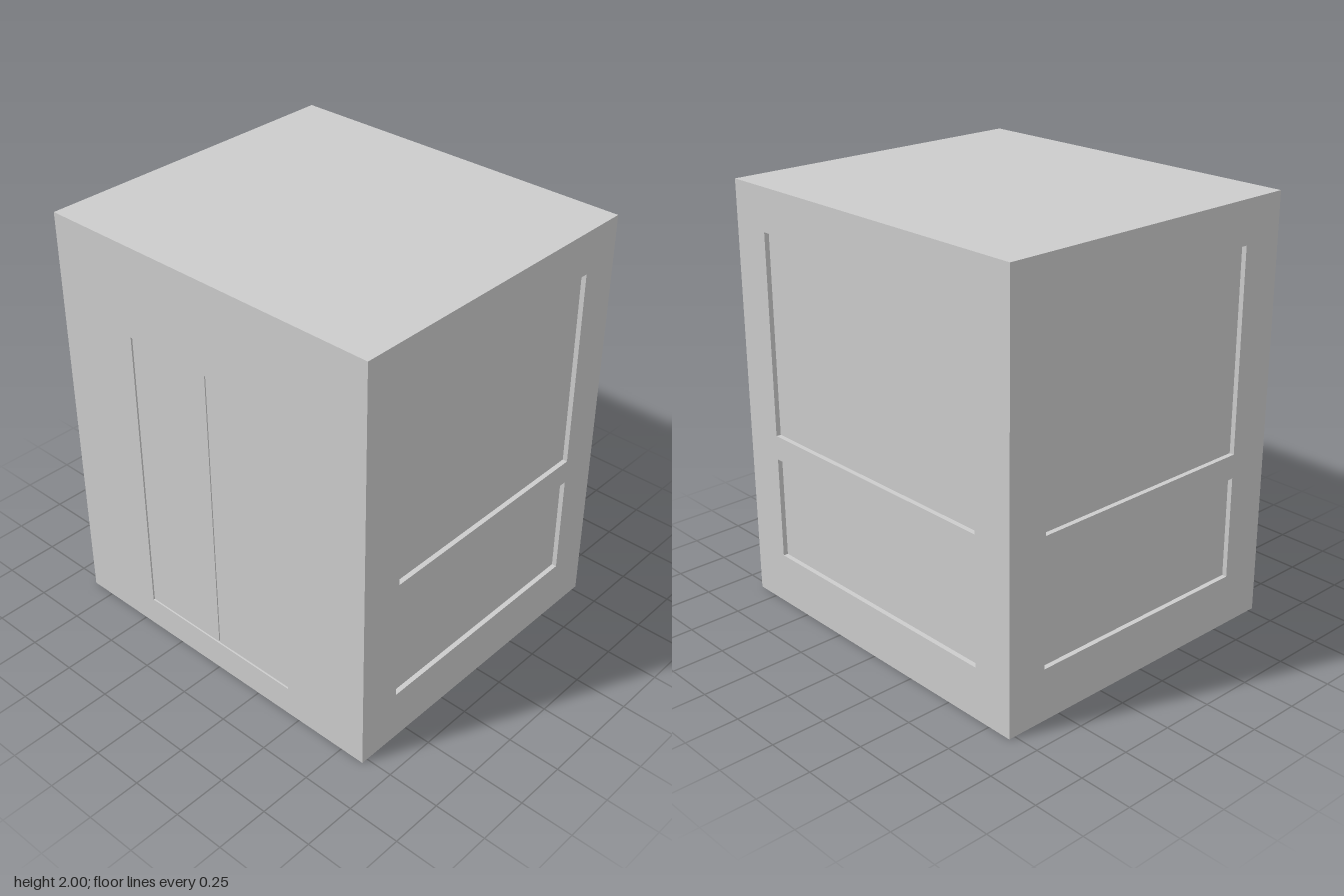
import * as THREE from 'three';

const W = 1.74, H = 2, D = 1.56; // cabin size
const T = 0.05;                  // wall thickness

const material = new THREE.MeshStandardMaterial({ color: 0xcccccc, flatShading: true });

// Outer face lies at z = 0; the inner rim is drawn in so that walls meet in mitres.
function wallGeometry(w, h, openings) {
  const shape = new THREE.Shape([[-1, -1], [1, -1], [1, 1], [-1, 1]]
    .map(([x, y]) => new THREE.Vector2(x * w / 2, y * h / 2)));
  for (const [x0, x1, y0, y1] of openings) {
    shape.holes.push(new THREE.Path([
      new THREE.Vector2(x0, y0), new THREE.Vector2(x0, y1),
      new THREE.Vector2(x1, y1), new THREE.Vector2(x1, y0)]));
  }
  const geo = new THREE.ExtrudeGeometry(shape, { depth: T, bevelEnabled: false });
  geo.translate(0, 0, -T);
  const p = geo.attributes.position;
  for (let i = 0; i < p.count; i++) {
    if (p.getZ(i) > -T / 2) continue;
    const x = p.getX(i), y = p.getY(i);
    if (Math.abs(x) > w / 2 - 1e-4) p.setX(i, x - Math.sign(x) * T);
    if (Math.abs(y) > h / 2 - 1e-4) p.setY(i, y - Math.sign(y) * T);
  }
  geo.computeVertexNormals();
  return geo;
}

function addMesh(parent, name, geometry) {
  const mesh = new THREE.Mesh(geometry, material);
  mesh.name = name;
  parent.add(mesh);
  return mesh;
}

// Slab filling an opening, its face set back by the given depth
function addInset(parent, name, [x0, x1, y0, y1], depth) {
  const mesh = addMesh(parent, name, new THREE.BoxGeometry(x1 - x0, y1 - y0, T - depth));
  mesh.position.set((x0 + x1) / 2, (y0 + y1) / 2, -(T + depth) / 2);
}

function addWall(parent, name, w, h, openings) {
  const wall = new THREE.Group();
  wall.name = name;
  addMesh(wall, name + 'Frame', wallGeometry(w, h, openings));
  parent.add(wall);
  return wall;
}

export function createModel() {
  const cabin = new THREE.Group();
  cabin.name = 'elevatorCabin';

  // Front wall with two sliding doors and a fine gap between them
  const y0 = 0.145 - H / 2, y1 = 1.57 - H / 2;
  const front = addWall(cabin, 'frontWall', W, H, [[-0.437, 0.437, y0, y1]]);
  front.position.set(0, H / 2, D / 2);
  addInset(front, 'rightDoor', [-0.437, -0.003, y0, y1], 0.008);
  addInset(front, 'leftDoor', [0.003, 0.437, y0, y1], 0.008);

  // Back and side walls, each with a tall upper and a low lower recessed panel
  const panelled = [
    ['backWall', W, -0.67, 0.67, Math.PI, 0, -D / 2],
    ['leftWall', D, -0.57, 0.585, Math.PI / 2, W / 2, 0],
    ['rightWall', D, -0.585, 0.57, -Math.PI / 2, -W / 2, 0],
  ];
  for (const [name, w, x0, x1, turn, px, pz] of panelled) {
    const upper = [x0, x1, 0.85 - H / 2, 1.8 - H / 2];
    const lower = [x0, x1, 0.245 - H / 2, 0.735 - H / 2];
    const wall = addWall(cabin, name, w, H, [upper, lower]);
    addInset(wall, 'upperPanel', upper, 0.023);
    addInset(wall, 'lowerPanel', lower, 0.023);
    wall.rotation.y = turn;
    wall.position.set(px, H / 2, pz);
  }

  // Plain roof and floor
  const roof = addWall(cabin, 'roof', W, D, []);
  roof.rotation.x = -Math.PI / 2;
  roof.position.y = H;
  const floor = addWall(cabin, 'floor', W, D, []);
  floor.rotation.x = Math.PI / 2;

  return cabin;
}
